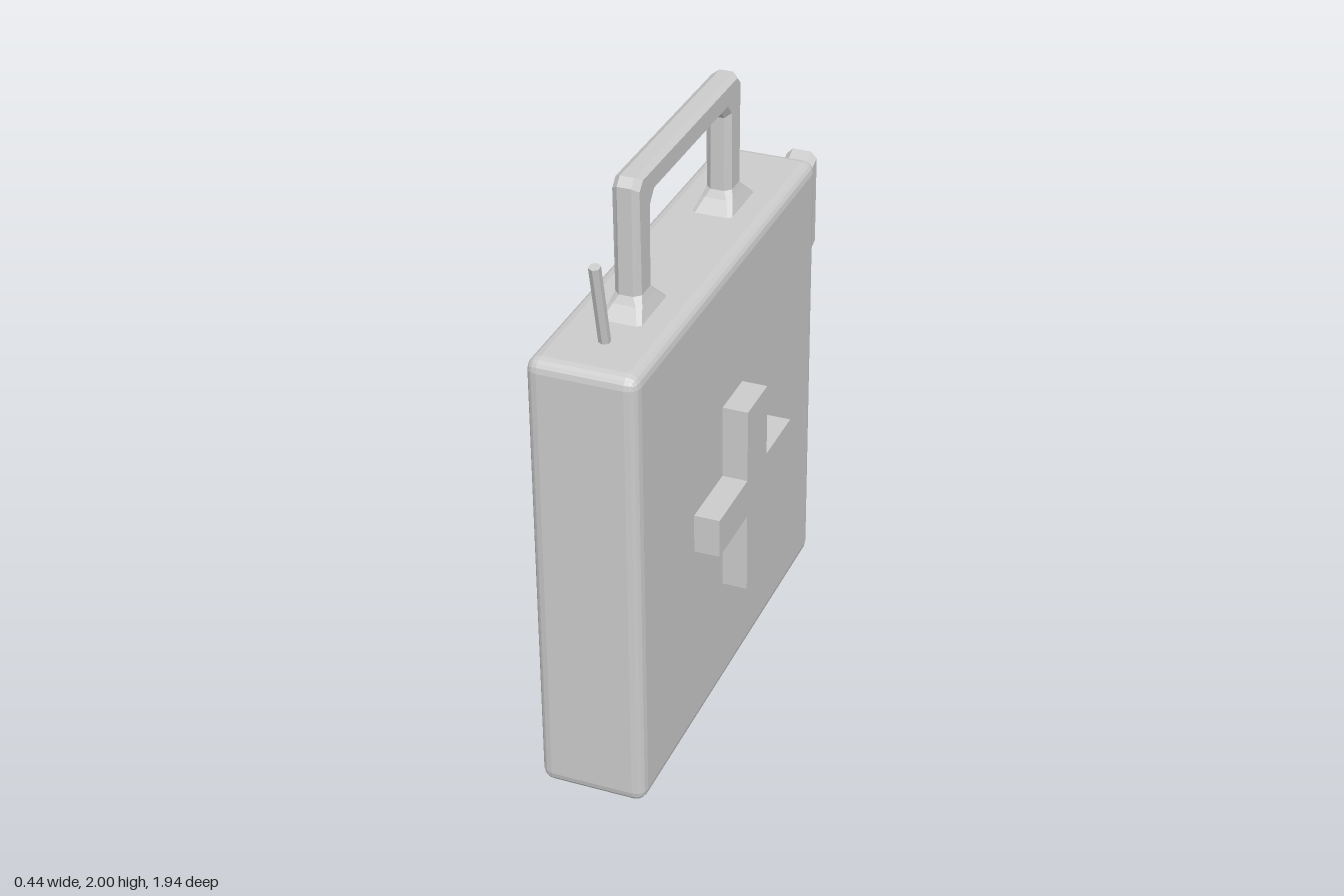
import * as THREE from 'three';
import { RoundedBoxGeometry } from 'three/addons/geometries/RoundedBoxGeometry.js';

const CENTRE_X = -0.043;
const material = new THREE.MeshStandardMaterial({ color: 0xcccccc, flatShading: true });

function part(name, geometry, x = 0, y = 0, z = 0) {
  const mesh = new THREE.Mesh(geometry, material);
  mesh.name = name;
  mesh.position.set(x, y, z);
  return mesh;
}

// Chamfered bar through sections { outer: [z, y], inner: [z, y], half: half width in x, cut: chamfer }
function loft(sections) {
  const positions = [], index = [], n = 8;
  for (const { outer, inner, half, cut } of sections) {
    const f = cut / Math.hypot(outer[0] - inner[0], outer[1] - inner[1]);
    const w = half - cut;
    const ring = [[1, -w], [1, w], [1 - f, half], [f, half], [0, w], [0, -w], [f, -half], [1 - f, -half]];
    for (const [u, x] of ring) {
      positions.push(x, inner[1] + (outer[1] - inner[1]) * u, inner[0] + (outer[0] - inner[0]) * u);
    }
  }
  for (let s = 0; s < sections.length - 1; s++) {
    for (let k = 0; k < n; k++) {
      const a = s * n + k, b = s * n + (k + 1) % n;
      index.push(a, b, b + n, a, b + n, a + n);
    }
  }
  // end caps
  const last = (sections.length - 1) * n;
  for (let k = 1; k < n - 1; k++) {
    index.push(0, k + 1, k, last, last + k, last + k + 1);
  }
  const geometry = new THREE.BufferGeometry();
  geometry.setAttribute('position', new THREE.Float32BufferAttribute(positions, 3));
  geometry.setIndex(index);
  const flat = geometry.toNonIndexed();
  flat.computeVertexNormals();
  return flat;
}

export function createModel() {
  const group = new THREE.Group();

  // Flat square can with bevelled edges
  group.add(part('body', new RoundedBoxGeometry(0.355, 1.555, 1.55, 2, 0.04), CENTRE_X, 0.7775, 0.195));

  // Square handle: front leg up, across the top, then mirrored down the back leg
  const half = 0.043, cut = 0.02;
  const frontLeg = [
    { outer: [0.68, 1.55], inner: [0.455, 1.55], half: 0.07, cut: 0.012 },
    { outer: [0.635, 1.595], inner: [0.5, 1.595], half: 0.052, cut: 0.015 },
    { outer: [0.62, 1.62], inner: [0.515, 1.62], half, cut },
    { outer: [0.62, 1.975], inner: [0.515, 1.875], half, cut },
    { outer: [0.595, 2], inner: [0.48, 1.915], half, cut },
  ];
  const mirrorZ = ([z, y]) => [0.39 - z, y];
  const backLeg = frontLeg.map((s) => ({ ...s, outer: mirrorZ(s.outer), inner: mirrorZ(s.inner) })).reverse();
  group.add(part('handle', loft([...frontLeg, ...backLeg]), CENTRE_X));

  // Upward slanting spout with a flared root and a chamfered tip
  group.add(part('spout', loft([
    { outer: [-0.575, 1.275], inner: [-0.575, 0.855], half: 0.068, cut: 0.012 },
    { outer: [-0.605, 1.235], inner: [-0.605, 0.885], half: 0.055, cut: 0.022 },
    { outer: [-0.955, 1.385], inner: [-0.955, 1.018], half: 0.055, cut: 0.022 },
    { outer: [-0.97, 1.375], inner: [-0.97, 1.03], half: 0.045, cut: 0.018 },
  ]), CENTRE_X - 0.006));

  // Raised cross on the side
  const cross = new THREE.Shape([
    [0.11, 0.405], [0.285, 0.405], [0.285, 0.69], [0.53, 0.69], [0.53, 0.825], [0.285, 0.825],
    [0.285, 1.08], [0.11, 1.08], [0.11, 0.825], [-0.115, 0.825], [-0.115, 0.69], [0.11, 0.69],
  ].map(([z, y]) => new THREE.Vector2(-z, y)));
  const crossGeometry = new THREE.ExtrudeGeometry(cross, { depth: 0.095, bevelEnabled: false });
  crossGeometry.rotateY(Math.PI / 2);
  group.add(part('sideCross', crossGeometry, 0.125));

  // Thin leaning rod on top
  const rod = part('rod', new THREE.CylinderGeometry(0.019, 0.019, 0.31, 6), -0.04, 1.68, 0.815);
  rod.rotation.x = 0.21;
  group.add(rod);

  return group;
}
